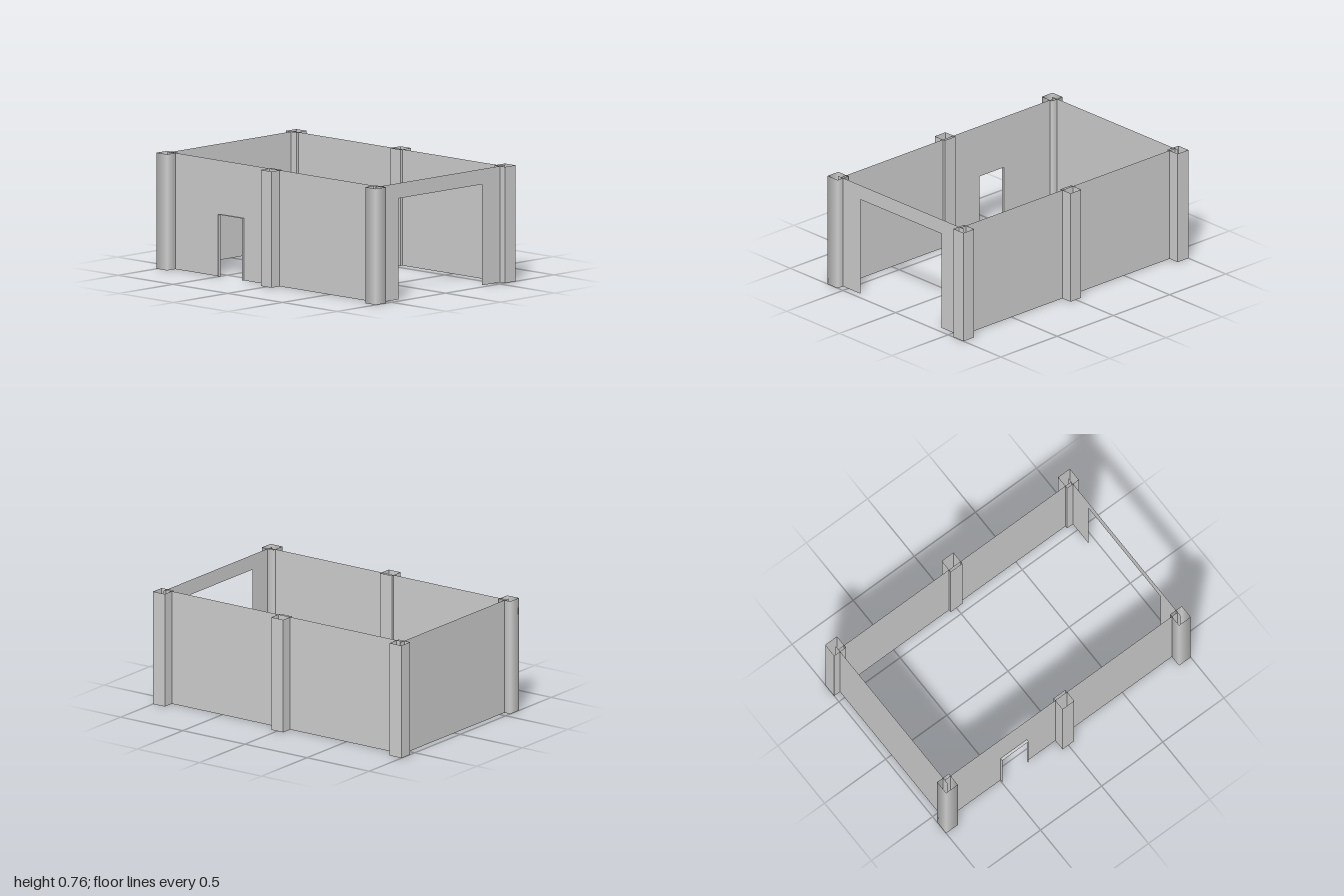
import * as THREE from 'three';

const H = 0.765;        // wall height
const POST = 0.095;     // post width
const PX = 0.9525, PZ = 0.5975; // post centres
const WZ = 0.568;       // front and back wall planes

const smooth = new THREE.MeshStandardMaterial({ color: 0xcccccc, side: THREE.DoubleSide });
const flat = new THREE.MeshStandardMaterial({ color: 0xcccccc, side: THREE.DoubleSide, flatShading: true });

// Thin wall of a given length, with an optional doorway cut up from the floor
function wallGeometry(length, door) {
  const a = length / 2;
  const s = new THREE.Shape();
  s.moveTo(-a, 0);
  if (door) {
    s.lineTo(door.x0, 0);
    s.lineTo(door.x0, door.h);
    s.lineTo(door.x1, door.h);
    s.lineTo(door.x1, 0);
  }
  s.lineTo(a, 0);
  s.lineTo(a, H);
  s.lineTo(-a, H);
  s.closePath();
  return new THREE.ShapeGeometry(s);
}

export function createModel() {
  const group = new THREE.Group();
  const add = (name, geo, mat, x = 0, y = 0, z = 0, ry = 0) => {
    const m = new THREE.Mesh(geo, mat);
    m.name = name;
    m.position.set(x, y, z);
    m.rotation.y = ry;
    group.add(m);
  };

  // Walls
  const door = { x0: -0.495, x1: -0.28, h: 0.41 };
  add('frontWall', wallGeometry(2 * PX, door), flat, 0, 0, WZ);
  add('backWall', wallGeometry(2 * PX), flat, 0, 0, -WZ, Math.PI);
  add('leftWall', wallGeometry(2 * PZ, { x0: -0.385, x1: 0.385, h: 0.665 }), flat, PX, 0, 0, Math.PI / 2);
  add('rightWall', wallGeometry(2 * PZ), flat, -PX, 0, 0, -Math.PI / 2);

  // Shallow reveal around the small doorway
  const depth = 0.019, z = WZ + depth / 2;
  for (const x of [door.x0, door.x1]) {
    add('doorJamb', new THREE.PlaneGeometry(depth, door.h), flat, x, door.h / 2, z, Math.PI / 2);
  }
  const lintel = new THREE.PlaneGeometry(door.x1 - door.x0, depth).rotateX(-Math.PI / 2);
  add('doorLintel', lintel, flat, (door.x0 + door.x1) / 2, door.h, z);

  // Hollow square posts, open at both ends
  const r = POST / Math.SQRT2;
  const post = new THREE.CylinderGeometry(r, r, H, 4, 1, true).rotateY(Math.PI / 4);
  for (const sz of [1, -1]) {
    for (const sx of [-1, 0, 1]) {
      const name = (sz > 0 ? 'front' : 'back') + (sx ? 'CornerPost' : 'MiddlePost');
      add(name, post, sz > 0 && sx ? smooth : flat, sx * PX, H / 2, sz * PZ);
    }
  }
  return group;
}
